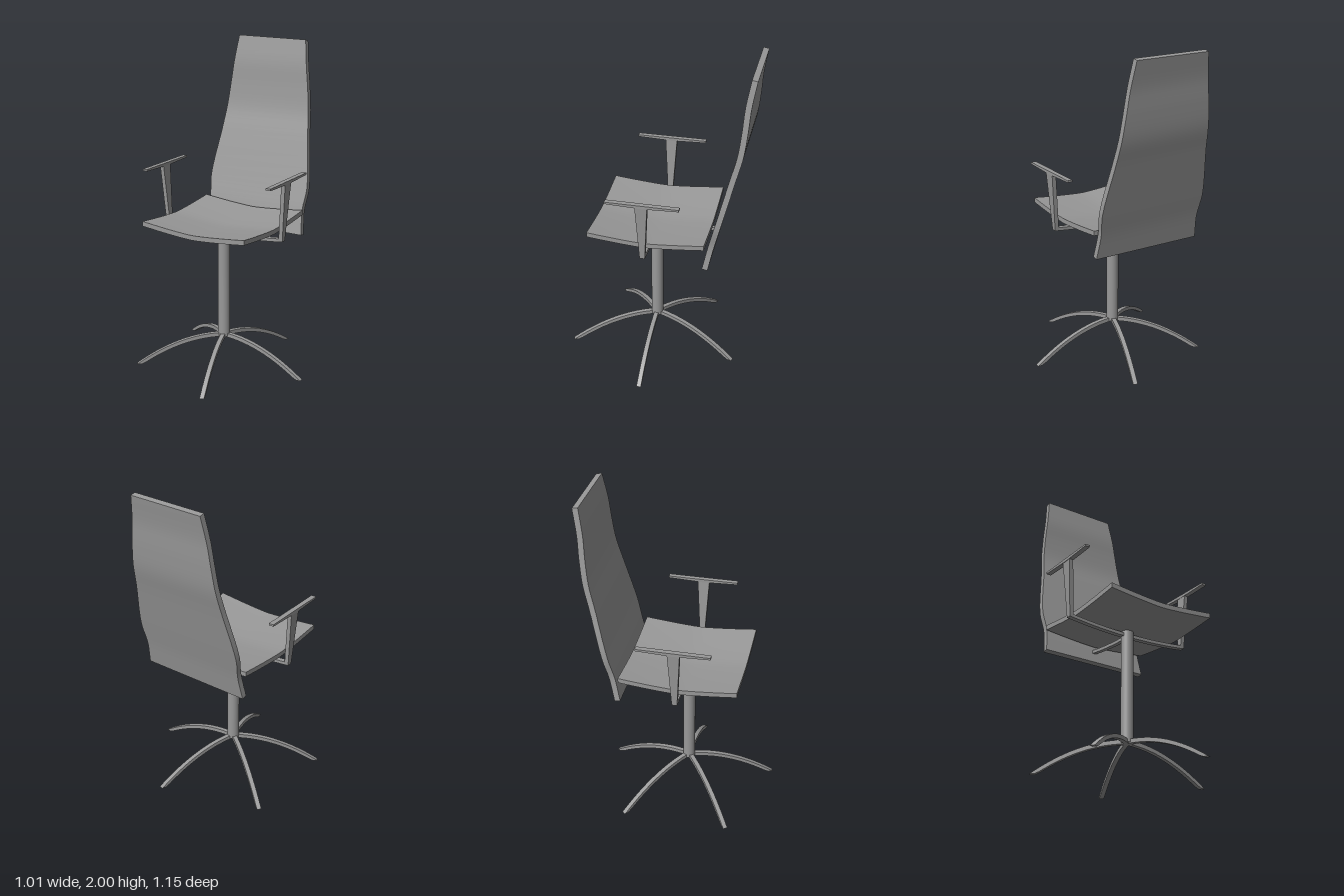
import * as THREE from 'three';

const material = new THREE.MeshStandardMaterial({ color: 0x999999 });

function add(parent, name, geometry) {
  const mesh = new THREE.Mesh(geometry, material);
  mesh.name = name;
  parent.add(mesh);
  return mesh;
}

// Moves every vertex of a geometry by a rule
function bend(geometry, rule) {
  const pos = geometry.attributes.position;
  const v = new THREE.Vector3();
  for (let i = 0; i < pos.count; i++) {
    rule(v.fromBufferAttribute(pos, i));
    pos.setXYZ(i, v.x, v.y, v.z);
  }
  geometry.computeVertexNormals();
  return geometry;
}

// Flat bar whose top follows height(x) from x0 to x1, with a level cut at the floor
function curvedBar(x0, x1, height, thickness, width, segments = 20) {
  const bar = new THREE.BoxGeometry(1, 1, width, segments, 1, 1);
  return bend(bar, (v) => {
    const x = x0 + (v.x + 0.5) * (x1 - x0);
    v.y = Math.max(0, height(x) - (v.y > 0 ? 0 : thickness));
    v.x = x;
  });
}

export function createModel() {
  const chair = new THREE.Group();
  chair.name = 'swivelChair';
  const body = new THREE.Group();
  body.name = 'chairBody';
  body.position.set(-0.049, 0, 0.04); // column axis
  chair.add(body);

  // Five arched legs
  const reach = 0.556;
  const legHeight = (r) => 0.2 * (1 - (r / reach) ** 2);
  for (let i = 0; i < 5; i++) {
    const leg = add(body, 'leg', curvedBar(0, reach, legHeight, 0.025, 0.028));
    leg.rotation.y = (i * Math.PI * 2) / 5;
  }

  // Central column
  const column = add(body, 'column', new THREE.CylinderGeometry(0.038, 0.038, 0.705, 32));
  column.position.y = 0.5325;

  // Seat, dished in both directions
  const seatHalf = 0.357;
  add(body, 'seat', bend(new THREE.BoxGeometry(2 * seatHalf, 0.03, 2 * seatHalf, 16, 1, 16), (v) => {
    const dish = (a) => 0.03 * Math.abs(a / seatHalf) ** 1.35;
    v.y += 0.895 + dish(v.x) + dish(v.z);
  }));

  // Backrest: curve points are (half width, height, depth) of the front face
  const backCurve = new THREE.CatmullRomCurve3([
    [0.355, 0.807, -0.348], [0.342, 0.96, -0.38], [0.355, 1.1, -0.415],
    [0.314, 1.4, -0.488], [0.297, 1.55, -0.525], [0.28, 1.7, -0.543],
    [0.262, 1.84, -0.554], [0.24, 2.0, -0.58],
  ].map((p) => new THREE.Vector3(...p)));
  add(body, 'backrest', bend(new THREE.BoxGeometry(2, 1, 1, 1, 32, 1), (v) => {
    const t = v.y + 0.5;
    const p = backCurve.getPoint(t);
    const d = backCurve.getTangent(t);
    const offset = v.z > 0 ? 0 : 0.035 / Math.hypot(d.y, d.z);
    v.set(v.x * p.x, p.y + d.z * offset, p.z - d.y * offset);
  }));

  // Curved strut from the column to the backrest
  const strut = add(body, 'backStrut',
    curvedBar(0, 0.368, (r) => 0.862 + 0.028 * (r / 0.368) ** 2, 0.02, 0.026));
  strut.rotation.y = Math.PI / 2;

  // Crossbar carrying both arms
  add(body, 'armCrossbar',
    curvedBar(-0.42, 0.42, (x) => 0.868 + 0.027 * (x / 0.42) ** 2, 0.02, 0.032));

  for (const side of [-1, 1]) {
    const arm = new THREE.Group();
    arm.name = side > 0 ? 'leftArm' : 'rightArm';
    body.add(arm);

    // Upright leans outward and widens toward the top
    add(arm, 'armUpright', bend(new THREE.BoxGeometry(0.026, 1, 1), (v) => {
      const t = v.y + 0.5;
      v.x += side * (0.407 + 0.026 * t);
      v.y = 0.877 + 0.363 * t;
      v.z *= 0.032 + 0.042 * t;
    }));

    // Armrest, slightly thicker in the middle
    add(arm, 'armrest', bend(new THREE.BoxGeometry(0.031, 0.02, 0.44, 1, 1, 8), (v) => {
      const end = Math.abs(v.z) / 0.22;
      v.x += side * 0.433;
      v.y = v.y > 0 ? 1.254 : 1.234 + 0.008 * end;
      v.z -= 0.004;
    }));
  }

  return chair;
}
